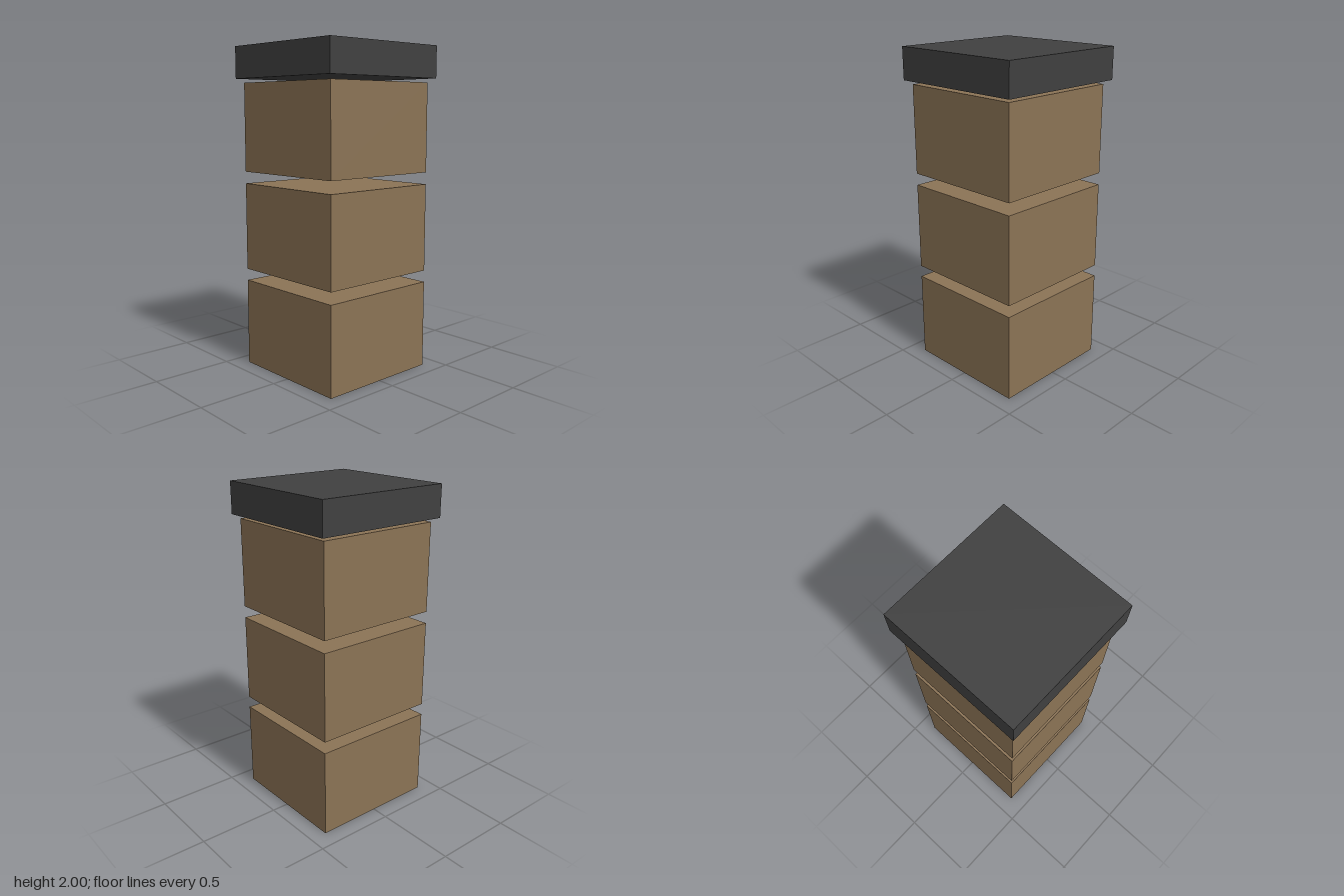
import * as THREE from 'three';

export function createModel() {
  const model = new THREE.Group();
  const brown = new THREE.MeshStandardMaterial({ color: 0x8b7355 });
  brown.name = 'brown';
  const charcoal = new THREE.MeshStandardMaterial({ color: 0x404040 });
  charcoal.name = 'charcoal';

  // Square block standing on height y
  function addBlock(name, width, height, y, material) {
    const mesh = new THREE.Mesh(new THREE.BoxGeometry(width, height, width), material);
    mesh.name = name;
    mesh.position.y = y + height / 2;
    model.add(mesh);
  }

  // Three equal tiers with open gaps between them
  for (let i = 0; i < 3; i++) addBlock(`tier${i + 1}`, 0.79, 0.545, i * 0.618, brown);

  // Overhanging cap, floating just above the top tier
  addBlock('cap', 0.862, 0.195, 1.805, charcoal);

  return model;
}
